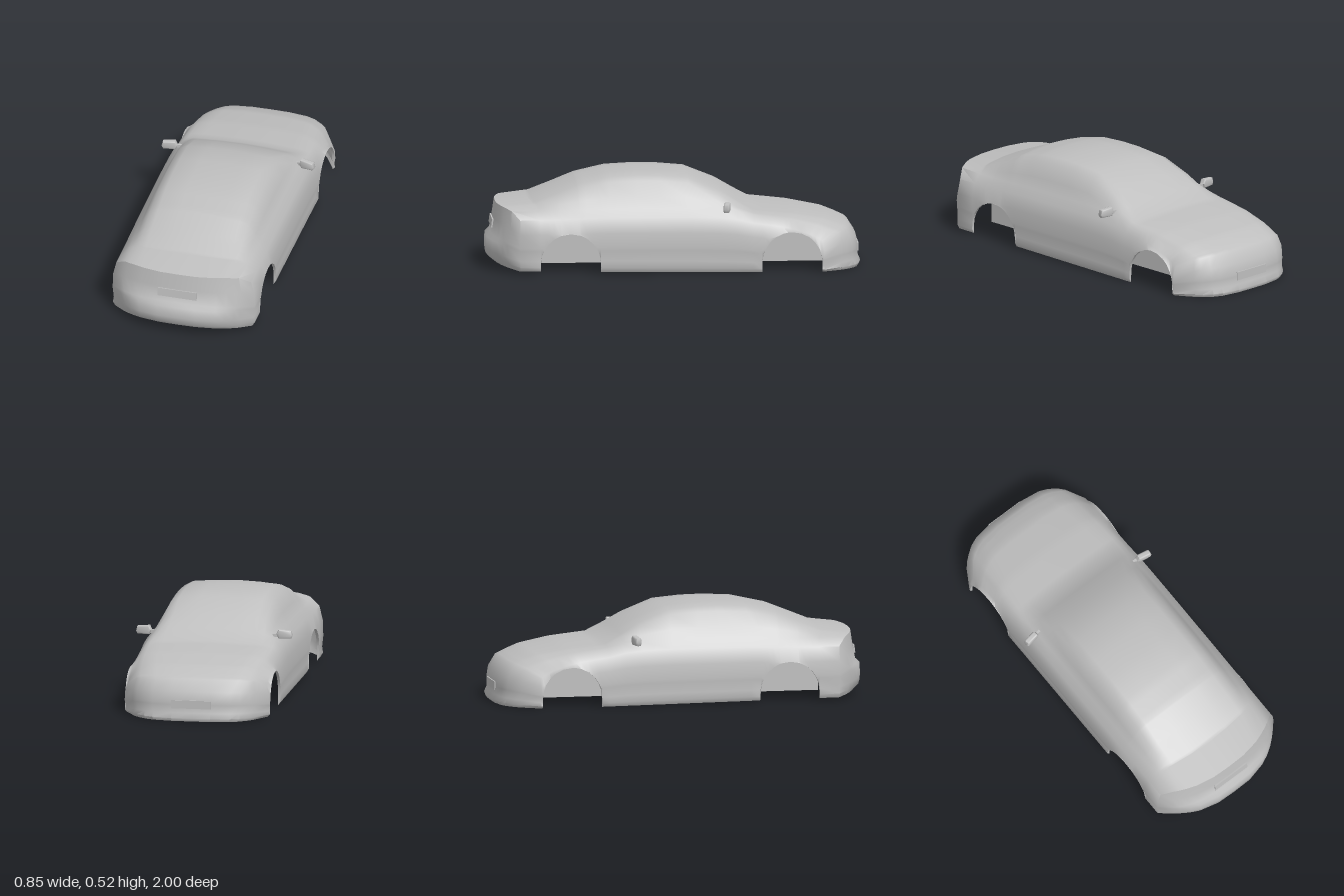
import * as THREE from 'three';
import { toCreasedNormals } from 'three/addons/utils/BufferGeometryUtils.js';

const paint = new THREE.MeshStandardMaterial({ name: 'bodyGrey', color: 0xbfbfbf, side: THREE.DoubleSide });
const { lerp, clamp } = THREE.MathUtils;

// Half sections along the body: [s, centreY, roofEdgeX, roofEdgeY, beltX, beltY]
const STATIONS = [
  [-1.00, 0.220, 0.20, 0.217, 0.315, 0.200],
  [-0.94, 0.245, 0.21, 0.240, 0.325, 0.217],
  [-0.85, 0.273, 0.22, 0.268, 0.330, 0.240],
  [-0.65, 0.305, 0.24, 0.298, 0.335, 0.278],
  [-0.42, 0.327, 0.25, 0.318, 0.340, 0.305],
  [-0.33, 0.380, 0.24, 0.368, 0.335, 0.325],
  [-0.235, 0.437, 0.23, 0.424, 0.333, 0.335],
  [-0.07, 0.502, 0.225, 0.490, 0.335, 0.340],
  [0.08, 0.514, 0.225, 0.503, 0.335, 0.340],
  [0.20, 0.517, 0.225, 0.505, 0.335, 0.340],
  [0.35, 0.510, 0.225, 0.497, 0.335, 0.340],
  [0.52, 0.477, 0.225, 0.460, 0.335, 0.335],
  [0.66, 0.425, 0.23, 0.408, 0.330, 0.332],
  [0.80, 0.372, 0.23, 0.362, 0.325, 0.330],
  [1.00, 0.345, 0.20, 0.343, 0.315, 0.330],
];
// Side panel from sill to shoulder: height fraction and half width
const SIDE_F = [0, 0.08, 0.2, 0.4, 0.46, 0.72, 1];
const SIDE_X = [0.378, 0.391, 0.386, 0.392, 0.392, 0.39, 0.372];
// End profiles on the centre line: [y, reach]
const NOSE = [[0, 0.99], [0.02, 1], [0.045, 0.985], [0.134, 0.985], [0.18, 0.965], [0.22, 0.935]];
const TAIL = [[0.04, 0.965], [0.065, 0.995], [0.12, 1], [0.165, 0.995], [0.185, 0.967], [0.3, 0.952], [0.345, 0.945]];
const ARCH_R = 0.16, ARCHES = [0.56, -0.62];

// Piecewise linear look-up in a table whose first column is the key
function sample(table, key) {
  let i = 1;
  while (i < table.length - 1 && table[i][0] < key) i++;
  const a = table[i - 1], b = table[i];
  const t = clamp((key - a[0]) / (b[0] - a[0]), 0, 1);
  return a.map((v, k) => lerp(v, b[k], t));
}

// Final z: the ends sweep back towards the corners (t = 1 on the side panels)
function sweep(s, t, y) {
  const a = Math.abs(s), w = Math.max(0, (a - 0.3) / 0.7) ** 2;
  t = Math.abs(t);
  const corner = s < 0 ? 0.21 * t ** 4 : 0.17 * t ** 3;
  const reach = sample(s < 0 ? NOSE : TAIL, y)[1];
  return Math.sign(s) * (a - w * (corner + (1 - reach) * (1 - t ** 4)));
}

// Station whose side panel lies at a given z
function stationAt(z) {
  let lo = -1, hi = 1;
  for (let i = 0; i < 40; i++) {
    const mid = (lo + hi) / 2;
    if (sweep(mid, 1, 0.1) < z) lo = mid; else hi = mid;
  }
  return lo;
}

// Lower edge of the side panel, raised over the wheels
function lowerEdge(z) {
  for (const c of ARCHES) {
    const d = Math.abs(z - c);
    if (d < ARCH_R) return 0.055 + Math.sqrt(ARCH_R ** 2 - d * d);
  }
  return sillY(z);
}
function sillY(z) {
  return clamp((z + 0.46) / 0.86 * 0.01, 0, 0.015);
}

// Shoulder, glass and roof points as [x, y], shoulder first, centre last
function upperHalf(s) {
  const [, top, ex, ey, bx, by] = sample(STATIONS, s);
  const glass = (fx, fy) => [lerp(ex, bx, fx), lerp(ey, by, fy)];
  return [[SIDE_X[6], by - 0.042], [bx, by], glass(0.77, 0.64), glass(0.4, 0.15),
    [ex, ey], [ex / 2, lerp(top, ey, 0.3)], [0, top]];
}
const mirrored = (half) => [...half, ...half.slice(0, -1).reverse().map(([x, ...r]) => [-x, ...r])];

function section(s) {
  const upper = upperHalf(s), shoulder = upper[0][1];
  const z = sweep(s, 1, 0.1), base = sillY(z), edge = lowerEdge(z);
  const side = SIDE_F.slice(0, -1).map((f, k) => [SIDE_X[k], Math.max(lerp(base, shoulder, f), edge), z]);
  const top = upper.map(([x, y]) => [x, y, sweep(s, x / SIDE_X[6], y)]);
  return mirrored([...side, ...top]);
}

// Nose or tail panel, rows rising from the bumper edge to the bonnet or boot
function endRows(s) {
  const upper = mirrored(upperHalf(s));
  return SIDE_F.map((f, k) => upper.map(([x, yTop]) => {
    const t = x / SIDE_X[6];
    const base = s < 0 ? 0 : sillY(1) + 0.03 * (1 - t * t);
    const y = lerp(base, yTop, f);
    return [t * SIDE_X[k], y, sweep(s, t, y)];
  }));
}

function addGrid(out, rows, flip) {
  for (let i = 0; i < rows.length - 1; i++) {
    for (let j = 0; j < rows[i].length - 1; j++) {
      const a = rows[i][j], b = rows[i][j + 1], c = rows[i + 1][j + 1], d = rows[i + 1][j];
      out.push(...(flip ? [a, c, b, a, d, c] : [a, b, c, a, c, d]).flat());
    }
  }
}

function bodyShell() {
  const stations = STATIONS.map((r) => r[0]);
  for (const c of ARCHES) {
    for (const f of [0, 0.3, 0.55, 0.75, 0.9, 0.97, 0.9999, 1.004]) {
      stations.push(stationAt(c + f * ARCH_R));
      if (f) stations.push(stationAt(c - f * ARCH_R));
    }
  }
  stations.sort((a, b) => a - b);
  const out = [];
  addGrid(out, stations.map(section), false);
  addGrid(out, endRows(-1), false);
  addGrid(out, endRows(1), true);
  const geo = new THREE.BufferGeometry();
  geo.setAttribute('position', new THREE.Float32BufferAttribute(out, 3));
  return toCreasedNormals(geo, 0.95);
}

export function createModel() {
  const model = new THREE.Group();
  model.name = 'carBody';
  const add = (geo, name, x = 0, y = 0, z = 0) => {
    const mesh = new THREE.Mesh(geo, paint);
    mesh.name = name;
    mesh.position.set(x, y, z);
    model.add(mesh);
    return mesh;
  };

  add(bodyShell(), 'bodyShell');

  // Blank plates on both ends
  add(new THREE.BoxGeometry(0.215, 0.044, 0.008), 'tailPlate', 0, 0.234, 0.963).rotation.x = -0.13;
  add(new THREE.BoxGeometry(0.215, 0.044, 0.008), 'nosePlate', 0, 0.09, -0.985);

  // Door mirror outline, bevelled into a rounded pod
  const pod = new THREE.Shape([[0.352, 0.332], [0.41, 0.332], [0.415, 0.341], [0.41, 0.361], [0.352, 0.367], [0.344, 0.35]]
    .map(([x, y]) => new THREE.Vector2(x - 0.38, y - 0.35)));
  const podGeo = toCreasedNormals(new THREE.ExtrudeGeometry(pod, {
    depth: 0.012, bevelEnabled: true, bevelSize: 0.007, bevelThickness: 0.01, bevelSegments: 2,
  }).translate(0, 0, -0.006), 0.8);

  for (const side of [1, -1]) {
    const label = side > 0 ? 'left' : 'right';
    // Inner wheel-house wall, running the length of both arches
    add(new THREE.PlaneGeometry(1.55, 0.18), label + 'InnerWall', side * 0.22, 0.125, -0.03).rotation.y = side * Math.PI / 2;

    const mirror = new THREE.Group();
    mirror.name = label + 'Mirror';
    const shell = new THREE.Mesh(podGeo, paint);
    shell.name = 'mirrorPod';
    if (side < 0) shell.rotation.y = Math.PI;
    const stalk = new THREE.Mesh(new THREE.BoxGeometry(0.04, 0.018, 0.012), paint);
    stalk.name = 'mirrorStalk';
    stalk.position.set(-side * 0.045, -0.008, 0);
    mirror.add(shell, stalk);
    mirror.position.set(side * 0.38, 0.35, -0.272);
    mirror.rotation.y = -side * 0.15;
    model.add(mirror);
  }
  return model;
}
